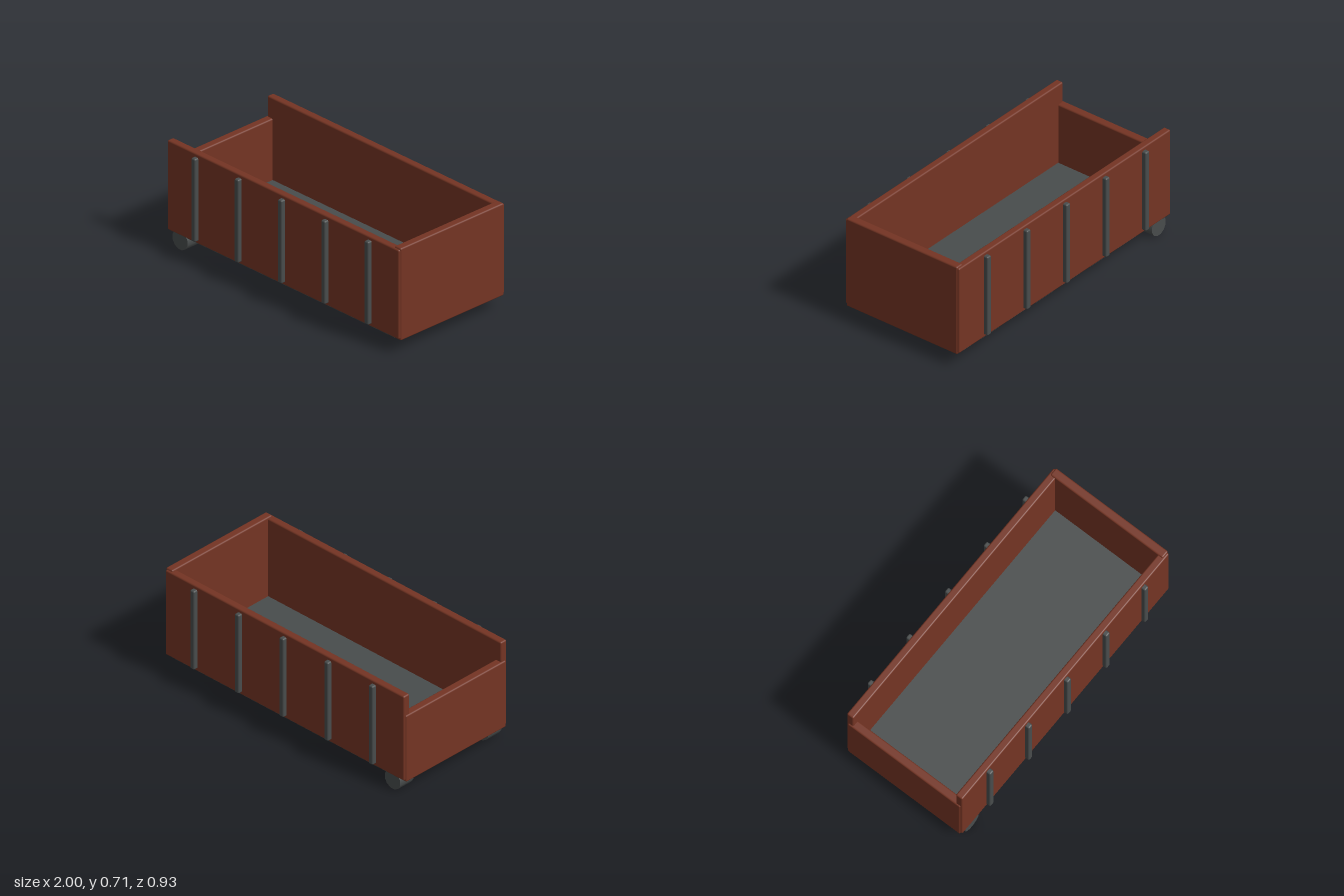
import * as THREE from 'three';
import { RoundedBoxGeometry } from 'three/addons/geometries/RoundedBoxGeometry.js';

export function createModel() {
  const model = new THREE.Group();
  model.name = 'dumpBed';
  const rust = new THREE.MeshStandardMaterial({ name: 'rust red', color: 0x743423 });
  const iron = new THREE.MeshStandardMaterial({ name: 'dark iron', color: 0x484c4c });

  const add = (name, geometry, material) => {
    const mesh = new THREE.Mesh(geometry, material);
    mesh.name = name;
    model.add(mesh);
    return mesh;
  };

  // Box between two corners; a bevel rounds its edges
  const block = (name, material, [x0, y0, z0], [x1, y1, z1], bevel = 0) => {
    const size = [x1 - x0, y1 - y0, z1 - z0];
    const geometry = bevel
      ? new RoundedBoxGeometry(...size, 2, bevel)
      : new THREE.BoxGeometry(...size);
    add(name, geometry, material).position.set((x0 + x1) / 2, (y0 + y1) / 2, (z0 + z1) / 2);
  };

  // Floor plate
  block('floor', iron, [-0.945, 0.097, -0.43], [0.945, 0.15, 0.43]);

  // Tall wall at one end, low gate at the other
  block('tallEndWall', rust, [0.943, 0.09, -0.426], [0.998, 0.708, 0.426], 0.01);
  block('lowEndGate', rust, [-1, 0.09, -0.426], [-0.945, 0.56, 0.426], 0.01);

  for (const side of [-1, 1]) {
    const label = side > 0 ? 'front' : 'back';
    const zRange = (a, b) => (side > 0 ? [a, b] : [-b, -a]);

    // Long side wall
    const [w0, w1] = zRange(0.388, 0.438);
    block(label + 'SideWall', rust, [-0.992, 0.1, w0], [0.992, 0.698, w1], 0.01);

    // Vertical stiffening ribs
    const [r0, r1] = zRange(0.425, 0.467);
    for (let i = -2; i <= 2; i++) {
      const x = i * 0.371;
      block(label + 'Rib', iron, [x - 0.018, 0.12, r0], [x + 0.018, 0.676, r1], 0.01);
    }

    // Hinge roller under the low end, a flat facing down
    const roller = new THREE.CylinderGeometry(0.066, 0.066, 0.113, 12);
    roller.rotateY(Math.PI / 12).rotateX(Math.PI / 2);
    add(label + 'HingeRoller', roller, iron).position.set(-0.89, 0.064, side * 0.374);
  }

  return model;
}
